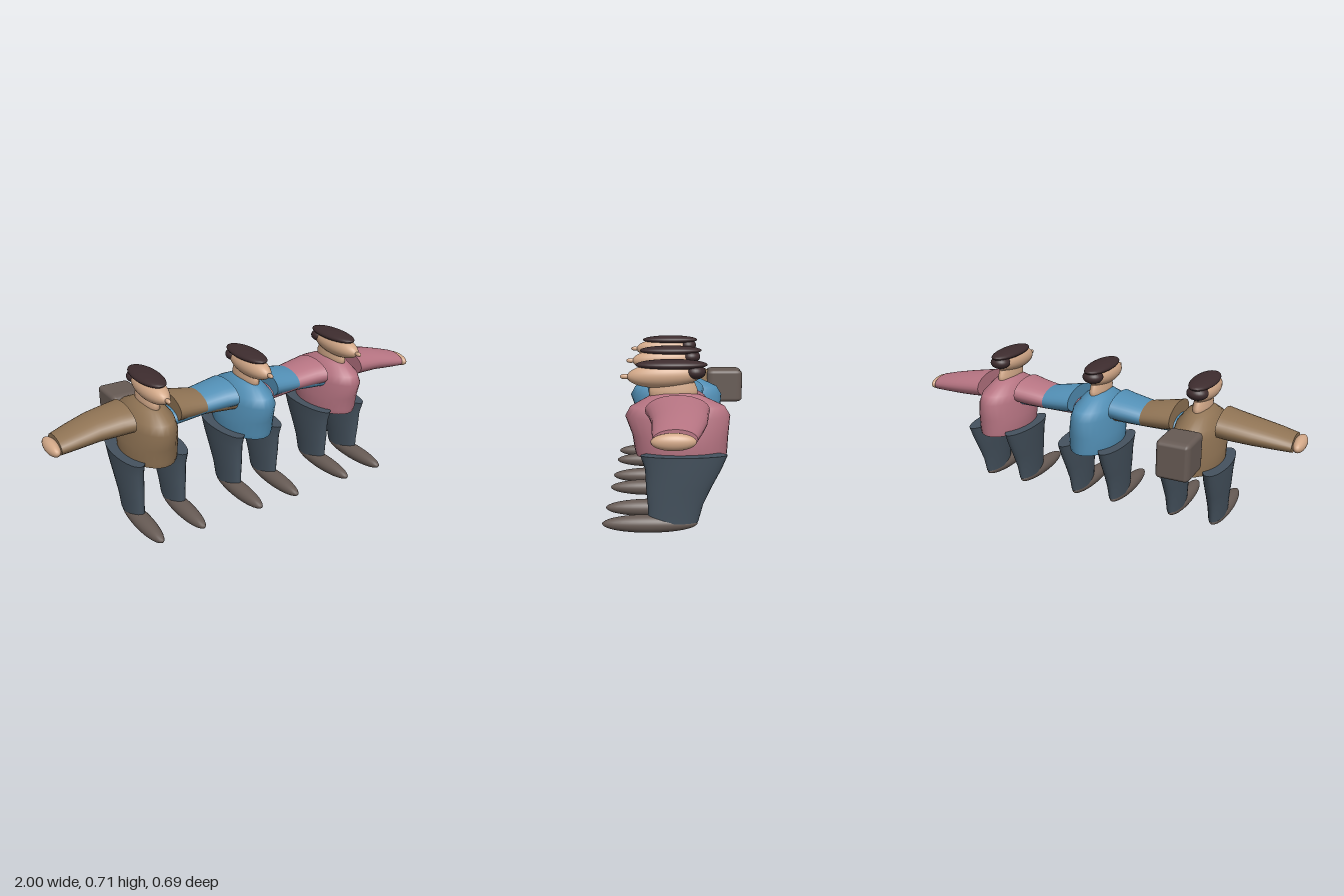
import * as THREE from 'three';
import { RoundedBoxGeometry } from 'three/addons/geometries/RoundedBoxGeometry.js';

const mat = (name, color) => new THREE.MeshStandardMaterial({ name, color });

// Smooth skin over elliptical sections [y, cx, cz, rx, rz], closed by flat caps
function loft(sections, n = 28) {
  const pos = [], idx = [];
  const ring = ([y, cx, cz, rx, rz]) => {
    for (let j = 0; j < n; j++) {
      const t = (j / n) * Math.PI * 2;
      pos.push(cx + rx * Math.sin(t), y, cz + rz * Math.cos(t));
    }
  };
  sections.forEach(ring);
  for (let i = 0; i < sections.length - 1; i++) {
    for (let j = 0; j < n; j++) {
      const k = (j + 1) % n;
      const a = i * n + j, b = i * n + k, c = a + n, d = b + n;
      idx.push(a, b, d, a, d, c);
    }
  }
  // Caps have their own vertices so the rims stay sharp
  [sections[0], sections[sections.length - 1]].forEach((s, top) => {
    const base = pos.length / 3;
    ring(s);
    pos.push(s[1], s[0], s[2]);
    for (let j = 0; j < n; j++) {
      const a = base + j, b = base + ((j + 1) % n);
      if (top) idx.push(base + n, a, b);
      else idx.push(base + n, b, a);
    }
  });
  const g = new THREE.BufferGeometry();
  g.setAttribute('position', new THREE.Float32BufferAttribute(pos, 3));
  g.setIndex(idx);
  g.computeVertexNormals();
  return g;
}

function add(parent, name, geometry, material) {
  const m = new THREE.Mesh(geometry, material);
  m.name = name;
  parent.add(m);
  return m;
}

function ellipsoid(parent, name, material, [x, y, z], [rx, ry, rz], tilt = 0) {
  const m = add(parent, name, new THREE.SphereGeometry(1, 28, 18), material);
  m.position.set(x, y, z);
  m.scale.set(rx, ry, rz);
  m.rotation.x = tilt;
  return m;
}

export function createModel() {
  const skin = mat('skin', 0xd2a888);
  const hair = mat('hair', 0x3d2c2e);
  const trousers = mat('trousers', 0x45525e);
  const leather = mat('leather', 0x665a54);
  const shirts = [mat('brown shirt', 0x8f7354), mat('blue shirt', 0x528fb5), mat('pink shirt', 0xb67482)];

  function figure(shirt) {
    const f = new THREE.Group();

    add(f, 'torso', loft([
      [0.312, 0, 0.008, 0.114, 0.192],
      [0.335, 0, 0.01, 0.12, 0.196],
      [0.40, 0, 0.013, 0.121, 0.203],
      [0.48, 0, 0.024, 0.108, 0.221],
      [0.52, 0, 0.025, 0.098, 0.198],
      [0.562, 0, 0.032, 0.066, 0.115],
      [0.578, 0, 0.035, 0.04, 0.075],
    ]), shirt);

    // Neck and head
    add(f, 'neck', loft([
      [0.55, 0, 0.042, 0.032, 0.092],
      [0.57, 0, 0.043, 0.037, 0.101],
      [0.59, 0, 0.043, 0.037, 0.102],
      [0.62, 0, 0.043, 0.032, 0.09],
    ]), skin);
    ellipsoid(f, 'head', skin, [0, 0.65, 0.08], [0.056, 0.053, 0.156], 0.04);
    ellipsoid(f, 'nose', skin, [0, 0.645, 0.244], [0.01, 0.011, 0.021]);
    ellipsoid(f, 'hairTop', hair, [0, 0.694, 0.05], [0.059, 0.023, 0.15]);
    ellipsoid(f, 'hairBun', hair, [0, 0.664, -0.047], [0.05, 0.032, 0.046]);

    for (const s of [1, -1]) {
      const side = s > 0 ? 'left' : 'right';

      // Sleeve sections run outward: [x, height, z, half height, half depth]
      const sleeve = loft([
        [0.108, 0.522, 0.027, 0.063, 0.132],
        [0.16, 0.515, 0.023, 0.062, 0.121],
        [0.26, 0.504, 0.021, 0.055, 0.109],
        [0.36, 0.489, 0.032, 0.046, 0.096],
        [0.432, 0.477, 0.04, 0.038, 0.083],
      ].map(([x, y, z, ry, rz]) => [x, -s * y, z, ry, rz]));
      sleeve.rotateZ(-s * Math.PI / 2);
      add(f, side + 'Sleeve', sleeve, shirt);
      ellipsoid(f, side + 'Hand', skin, [s * 0.451, 0.473, 0.046], [0.029, 0.033, 0.084]);

      add(f, side + 'Leg', loft([
        [0.046, s * 0.105, 0.045, 0.035, 0.104],
        [0.12, s * 0.105, 0.036, 0.039, 0.115],
        [0.19, s * 0.106, 0.023, 0.045, 0.134],
        [0.275, s * 0.107, 0.003, 0.051, 0.158],
        [0.335, s * 0.108, 0, 0.055, 0.18],
      ]), trousers);
      ellipsoid(f, side + 'Shoe', leather, [s * 0.105, 0.04, 0.143], [0.042, 0.038, 0.2]);
    }
    return f;
  }

  // Three figures standing arm in arm
  const model = new THREE.Group();
  model.name = 'threeFigures';
  shirts.forEach((shirt, i) => {
    const f = figure(shirt);
    f.name = ['rightFigure', 'middleFigure', 'leftFigure'][i];
    f.position.x = (i - 1) * 0.52;
    model.add(f);
  });

  // Backpack, stretched in depth
  const pack = add(model.children[0], 'backpack', new RoundedBoxGeometry(0.155, 0.176, 0.11, 3, 0.02), leather);
  pack.scale.z = 1.75;
  pack.position.set(0, 0.445, -0.248);

  // Stand on the ground, centred in depth
  const box = new THREE.Box3().setFromObject(model);
  const mid = box.getCenter(new THREE.Vector3());
  model.children.forEach((c) => {
    c.position.y -= box.min.y;
    c.position.z -= mid.z;
  });
  return model;
}
